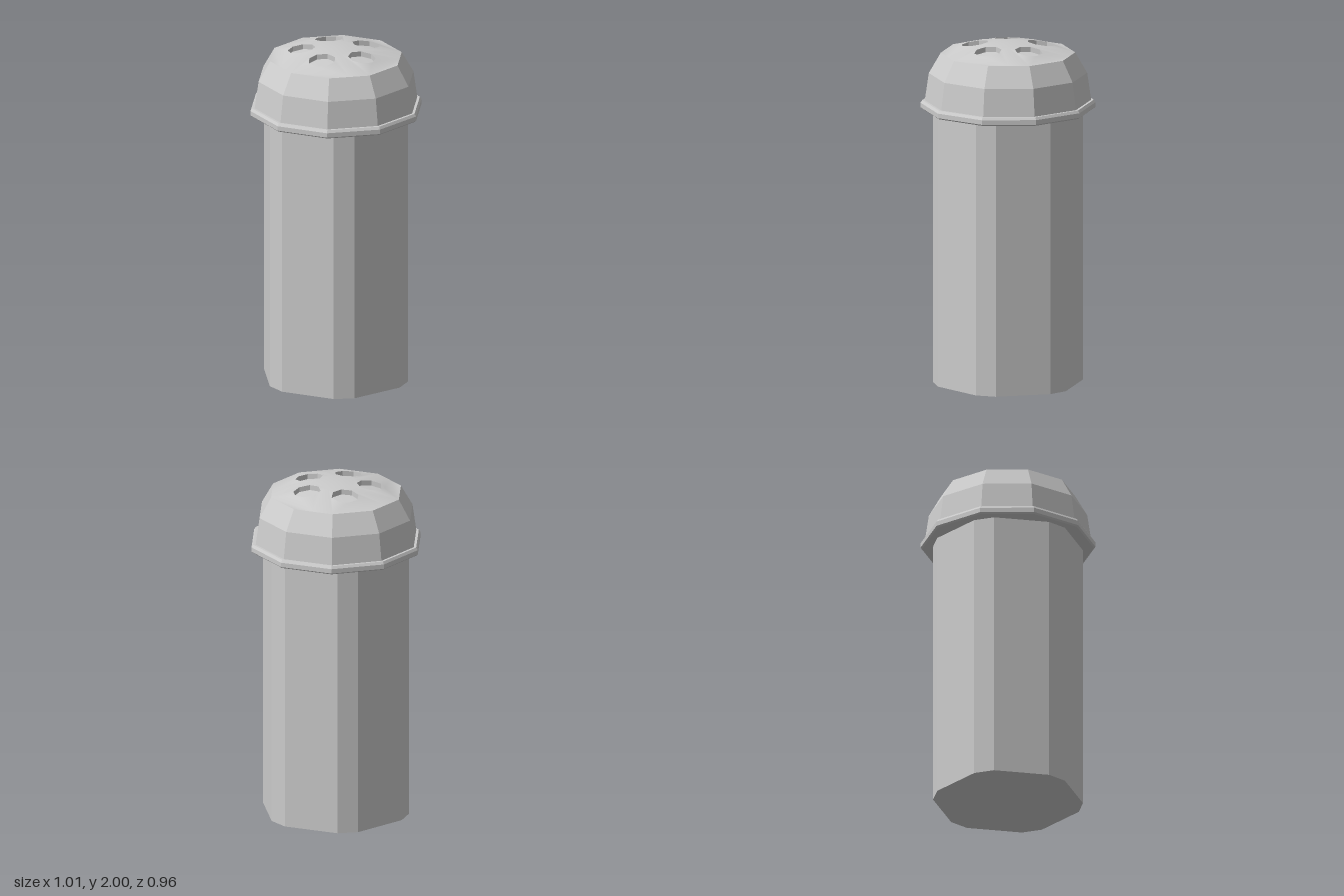
import * as THREE from 'three';
import { mergeGeometries, mergeVertices } from 'three/addons/utils/BufferGeometryUtils.js';

const TAU = Math.PI * 2;
const DOME_R = 0.388, HOLE_R = 0.08, HOLE_RING = 0.2, HOLE_DEPTH = 0.03;

// Height of the shallow dome at a point of its plan
const domeY = (x, z) => {
  const r = Math.hypot(x, z);
  return r > 0.36 ? 1.94 : 2 - 0.4 * r * r;
};

// Adds the dome height to every vertex
function drape(geometry) {
  const p = geometry.attributes.position;
  for (let i = 0; i < p.count; i++) p.setY(i, p.getY(i) + domeY(p.getX(i), p.getZ(i)));
  return geometry;
}

// Repeats a one-fifth sector around the axis and welds it
function fiveFold(sector) {
  sector.deleteAttribute('normal');
  sector.deleteAttribute('uv');
  const copies = [];
  for (let k = 0; k < 5; k++) copies.push(sector.clone().rotateY(Math.PI + k * TAU / 5));
  const merged = mergeVertices(mergeGeometries(copies));
  merged.computeVertexNormals();
  return merged;
}

const polar = (r, degrees) => {
  const a = THREE.MathUtils.degToRad(degrees);
  return new THREE.Vector2(r * Math.cos(a), r * Math.sin(a));
};

export function createModel() {
  const group = new THREE.Group();
  const flat = new THREE.MeshStandardMaterial({ color: 0xcccccc, flatShading: true });
  const smooth = new THREE.MeshStandardMaterial({ color: 0xcccccc });
  const thin = new THREE.MeshStandardMaterial({ color: 0xcccccc, flatShading: true, side: THREE.DoubleSide });
  const add = (name, geometry, material) => {
    const mesh = new THREE.Mesh(geometry, material);
    mesh.name = name;
    group.add(mesh);
  };

  // Body: hexagonal prism with bevelled corners
  const outline = [];
  for (let k = 0; k < 6; k++) outline.push(polar(0.433, 60 * k - 8), polar(0.433, 60 * k + 8));
  const body = new THREE.ExtrudeGeometry(new THREE.Shape(outline), { depth: 1.62, bevelEnabled: false });
  add('body', body.rotateX(-Math.PI / 2), flat);

  // Ten-sided cap: underside, rolled rim and two sloping bands
  const profile = [
    [0.3, 1.61], [0.495, 1.61], [0.505, 1.618], [0.505, 1.645], [0.495, 1.66],
    [0.48, 1.66], [0.457, 1.82], [DOME_R, 1.94],
  ].map(([r, y]) => new THREE.Vector2(r, y));
  add('capSide', new THREE.LatheGeometry(profile, 10).rotateY(Math.PI / 2), flat);

  // Dome: five sectors, each pierced by one octagonal hole
  const edgeMid = DOME_R * Math.cos(Math.PI / 10);
  const sector = new THREE.Shape([
    new THREE.Vector2(0, 0), polar(0.12, 54), polar(0.24, 54), polar(edgeMid, 54),
    polar(DOME_R, 72), polar(DOME_R, 108),
    polar(edgeMid, 126), polar(0.24, 126), polar(0.12, 126),
  ]);
  const hole = [];
  for (let k = 0; k < 8; k++) hole.push(polar(HOLE_R, -45 * k).add(new THREE.Vector2(0, HOLE_RING)));
  sector.holes.push(new THREE.Path(hole));
  const dome = new THREE.ShapeGeometry(sector).rotateX(-Math.PI / 2);
  add('capTop', fiveFold(drape(dome)), smooth);

  // Recessed hole walls and floors, following the dome
  const walls = new THREE.CylinderGeometry(HOLE_R, HOLE_R, HOLE_DEPTH, 8, 1, true);
  walls.translate(0, -HOLE_DEPTH / 2, -HOLE_RING);
  add('holeWalls', fiveFold(drape(walls)), thin);

  const floor = new THREE.CircleGeometry(HOLE_R, 8).rotateX(-Math.PI / 2);
  floor.translate(0, -HOLE_DEPTH, -HOLE_RING);
  add('holeFloors', fiveFold(drape(floor)), smooth);

  return group;
}
